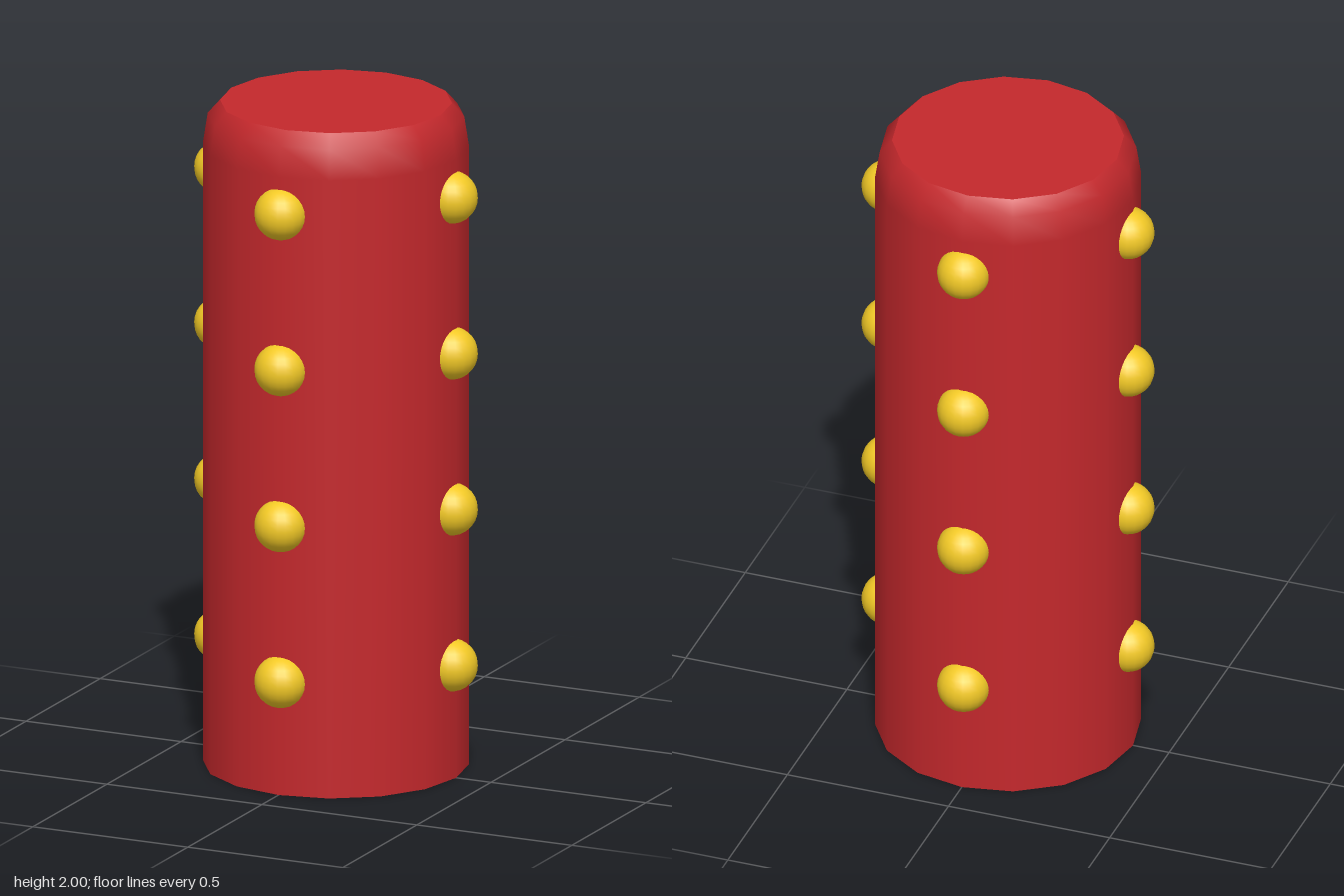
import * as THREE from 'three';

const SIDES = 16;
const RADIUS = 0.388;
const TOP_RADIUS = 0.338;

export function createModel() {
  const model = new THREE.Group();
  model.name = 'studdedColumn';
  const red = new THREE.MeshStandardMaterial({ color: 0xc4282c });
  const yellow = new THREE.MeshStandardMaterial({ color: 0xf2c926 });

  const add = (name, geometry, material, parent = model) => {
    const mesh = new THREE.Mesh(geometry, material);
    mesh.name = name;
    parent.add(mesh);
    return mesh;
  };

  // Column wall with a rounded shoulder at the top
  const profile = [
    [RADIUS, 0], [RADIUS, 1.87], [0.374, 1.96], [TOP_RADIUS, 2],
  ].map(([r, y]) => new THREE.Vector2(r, y));
  add('columnWall', new THREE.LatheGeometry(profile, SIDES), red);

  // Flat end caps, kept separate so their edges stay sharp
  const top = add('topCap', new THREE.CircleGeometry(TOP_RADIUS, SIDES), red);
  top.rotation.x = -Math.PI / 2;
  top.position.y = 2;
  const bottom = add('bottomCap', new THREE.CircleGeometry(RADIUS, SIDES), red);
  bottom.rotation.x = Math.PI / 2;

  // Four rings of four round studs
  const studGeometry = new THREE.SphereGeometry(0.078, 20, 14);
  for (let row = 0; row < 4; row++) {
    const ring = new THREE.Group();
    ring.name = `studRing${row + 1}`;
    ring.position.y = 0.34 + row * 0.472;
    for (let i = 0; i < 4; i++) {
      const angle = (i * Math.PI) / 2;
      const stud = add('stud', studGeometry, yellow, ring);
      stud.position.set(Math.sin(angle) * 0.372, 0, Math.cos(angle) * 0.372);
    }
    model.add(ring);
  }
  return model;
}
